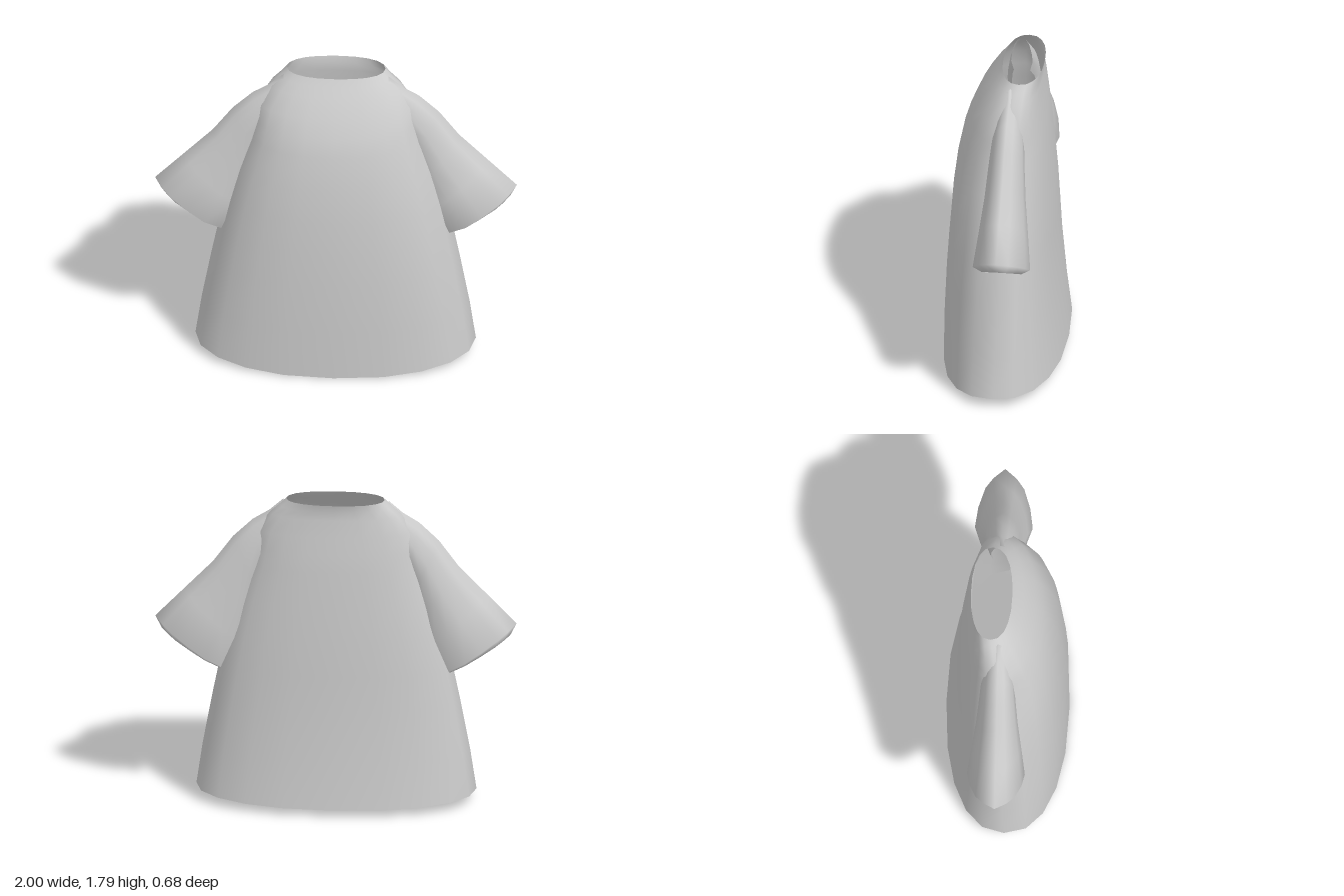
import * as THREE from 'three';

const material = new THREE.MeshStandardMaterial({ color: 0xcccccc, side: THREE.DoubleSide });

// Skin a list of equal-length rows of points into one smooth surface
function skin(name, rows, closed, flip) {
  const n = rows[0].length, index = [];
  for (let i = 0; i < rows.length - 1; i++) {
    for (let j = 0; j < (closed ? n : n - 1); j++) {
      const k = (j + 1) % n;
      const a = i * n + j, b = i * n + k, c = (i + 1) * n + k, d = (i + 1) * n + j;
      if (flip) index.push(a, c, b, a, d, c);
      else index.push(a, b, c, a, c, d);
    }
  }
  const geometry = new THREE.BufferGeometry();
  geometry.setAttribute('position', new THREE.Float32BufferAttribute(rows.flat(2), 3));
  geometry.setIndex(index);
  geometry.computeVertexNormals();
  const mesh = new THREE.Mesh(geometry, material);
  mesh.name = name;
  return mesh;
}

// Body levels: height, half width, front z, back z, z of the side seam
const LEVELS = [
  [0.00, 0.775, 0.34, -0.34, 0.00],
  [0.30, 0.74, 0.338, -0.31, -0.01],
  [0.60, 0.685, 0.327, -0.285, -0.02],
  [0.80, 0.645, 0.315, -0.275, -0.03],
  [1.00, 0.60, 0.30, -0.265, -0.035],
  [1.20, 0.545, 0.275, -0.25, -0.04],
  [1.40, 0.48, 0.235, -0.235, -0.045],
  [1.50, 0.455, 0.195, -0.223, -0.05],
  [1.60, 0.43, 0.15, -0.21, -0.055],
  [1.70, 0.365, 0.085, -0.197, -0.07],
  [1.75, 0.31, 0.05, -0.196, -0.08],
  [1.79, 0.272, 0.025, -0.205, -0.09],
];

function body() {
  const sides = 20;
  const power = (v) => Math.sign(v) * Math.abs(v) ** 0.88;
  const rows = LEVELS.map(([y, w, front, back, mid], level) =>
    Array.from({ length: sides }, (_, j) => {
      const t = (j / sides) * Math.PI * 2;
      const s = power(Math.sin(t)), c = power(Math.cos(t));
      // The hem rises at the sides and slightly at the back
      const lift = level === 0 ? 0.06 * (1 - Math.abs(c) ** 2) + (c < 0 ? 0.04 * c * c : 0) : 0;
      return [w * s, y + lift, mid + (c > 0 ? c * (front - mid) : c * (mid - back))];
    }));
  return skin('shirtBody', rows, true, false);
}

// Sleeve stations: top x, y, lower edge x, y, half depth; the last is the turned-in cuff
const STATIONS = [
  [0.29, 1.77, 0.29, 1.55, 0.06],
  [0.37, 1.70, 0.36, 1.48, 0.08],
  [0.46, 1.645, 0.41, 1.40, 0.093],
  [0.57, 1.54, 0.45, 1.30, 0.102],
  [0.68, 1.39, 0.50, 1.15, 0.115],
  [0.84, 1.225, 0.555, 0.98, 0.137],
  [1.00, 1.06, 0.63, 0.81, 0.16],
  [0.965, 0.99, 0.635, 0.79, 0.11],
];
// Arch section: fraction down from the top, fraction of the half depth
const ARCH = [[0, 0], [0.12, 0.4], [0.25, 0.67], [0.5, 0.9], [0.75, 1], [1, 0.75]];

function sleeve(name, side) {
  const profile = [
    ...ARCH.slice(1).reverse(),
    ...ARCH.map(([u, f]) => [u, -f]),
  ];
  const rows = STATIONS.map(([tx, ty, bx, by, depth]) =>
    profile.map(([u, f]) => [
      side * THREE.MathUtils.lerp(tx, bx, u),
      THREE.MathUtils.lerp(ty, by, u),
      -0.045 + f * depth,
    ]));
  return skin(name, rows, false, side > 0);
}

export function createModel() {
  const model = new THREE.Group();
  model.name = 'shirt';
  model.add(body(), sleeve('leftSleeve', 1), sleeve('rightSleeve', -1));
  return model;
}
